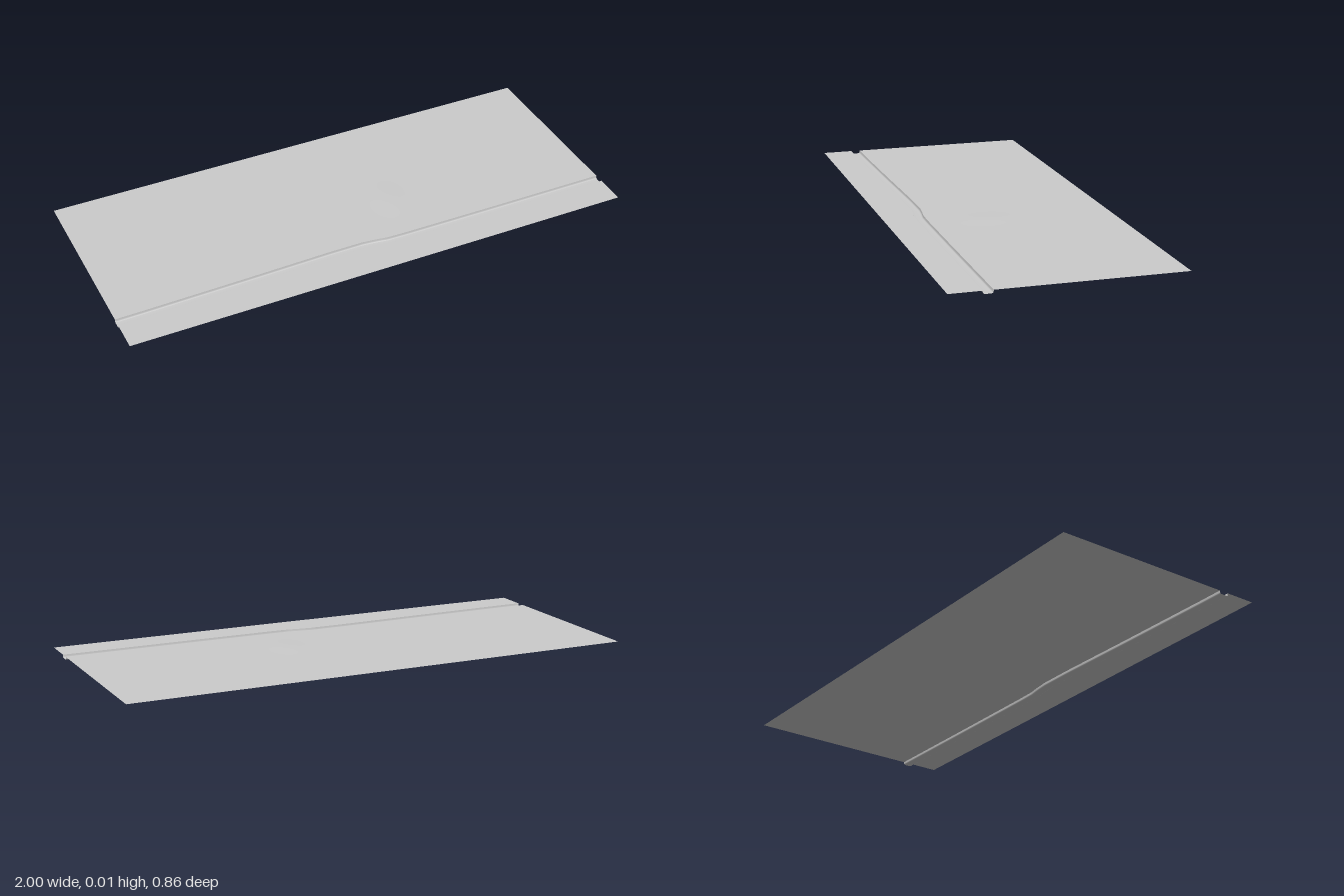
import * as THREE from 'three';

const TOP = 0.012, BACK = -0.43, FRONT = 0.425, HALF = 0.0185;

// Centre line of the ditch as [x, z], slightly kinked near the middle.
const PATH = [[-1, 0.288], [-0.9, 0.287], [-0.5, 0.279], [-0.15, 0.27], [-0.02, 0.27],
  [0.03, 0.275], [0.08, 0.283], [0.15, 0.285], [0.5, 0.286], [1, 0.286]];

function centre(x) {
  let i = 1;
  while (i < PATH.length - 1 && x > PATH[i][0]) i++;
  const [x0, z0] = PATH[i - 1], [x1, z1] = PATH[i];
  return z0 + (z1 - z0) * (x - x0) / (x1 - x0);
}

// Almost flat ground with one faint swell.
const ground = (x, z) =>
  TOP + 0.002 * Math.exp(-(((x - 0.19) / 0.07) ** 2) - ((z - 0.05) / 0.1) ** 2);

// Surface swept along x; section(x, t) gives [y, z] for t running back to front.
function strip(name, rows, material, section) {
  const cols = 100;
  const geometry = new THREE.PlaneGeometry(1, 1, cols, rows);
  const p = geometry.attributes.position;
  for (let j = 0; j <= rows; j++) {
    for (let i = 0; i <= cols; i++) {
      const x = -1 + 2 * i / cols;
      const [y, z] = section(x, j / rows);
      p.setXYZ(j * (cols + 1) + i, x, y, z);
    }
  }
  geometry.computeVertexNormals();
  const mesh = new THREE.Mesh(geometry, material);
  mesh.name = name;
  return mesh;
}

export function createModel() {
  const group = new THREE.Group();
  group.name = 'groundWithDitch';
  const material = new THREE.MeshStandardMaterial({ color: 0xcccccc, side: THREE.DoubleSide });
  const lerp = THREE.MathUtils.lerp;

  // Wide field behind the ditch
  group.add(strip('backField', 40, material, (x, t) => {
    const z = lerp(BACK, centre(x) - HALF, t);
    return [ground(x, z), z];
  }));

  // Narrow bank in front of the ditch
  group.add(strip('frontBank', 6, material, (x, t) => {
    const z = lerp(centre(x) + HALF, FRONT, t);
    return [ground(x, z), z];
  }));

  // Steep ditch walls, rounded in towards the bed
  const wall = [[TOP, HALF], [0.005, 0.0178], [0.002, 0.0165], [0.0005, 0.014]];
  for (const side of [-1, 1]) {
    group.add(strip(side < 0 ? 'backDitchWall' : 'frontDitchWall', 3, material, (x, t) => {
      const k = Math.round(t * 3);
      const [y, offset] = wall[side < 0 ? k : 3 - k];
      const z = centre(x) + side * offset;
      return [y === TOP ? ground(x, z) : y, z];
    }));
  }

  // Ditch bed
  group.add(strip('ditchBed', 4, material, (x, t) => {
    const u = 2 * t - 1;
    return [0.0005 * u * u, centre(x) + 0.014 * u];
  }));

  return group;
}
